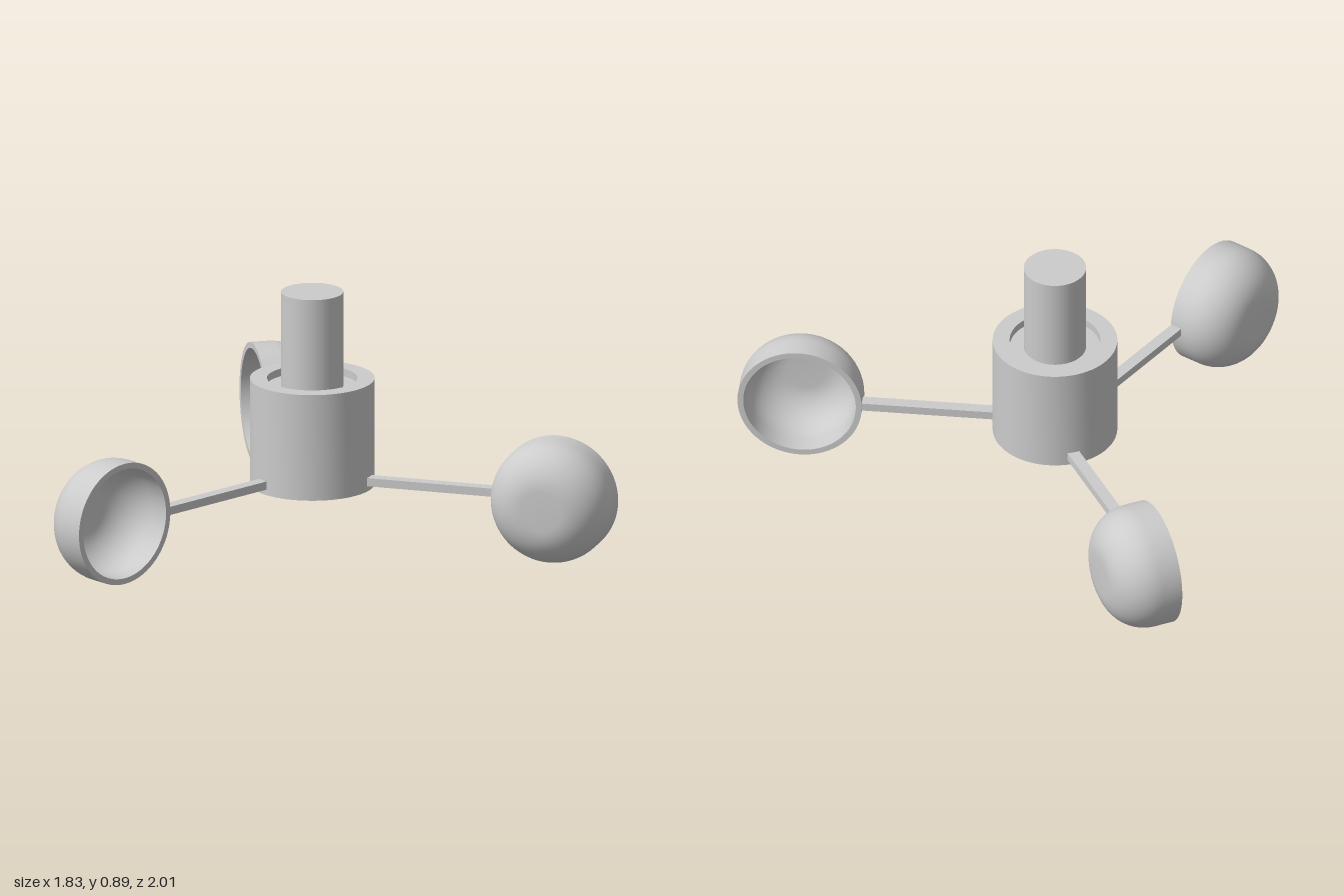
import * as THREE from 'three';
import { toCreasedNormals } from 'three/addons/utils/BufferGeometryUtils.js';

const material = new THREE.MeshStandardMaterial({ color: 0xcccccc });

function addMesh(parent, name, geometry) {
  const mesh = new THREE.Mesh(geometry, material);
  mesh.name = name;
  parent.add(mesh);
  return mesh;
}

// Turned part with crisp edges; the profile runs with its outside on the right
function turned(points, segments = 64) {
  const profile = points.map(([r, y]) => new THREE.Vector2(r, y));
  return toCreasedNormals(new THREE.LatheGeometry(profile, segments), 0.5);
}

// Quarter-round shoulder from a straight wall to a flat end
function shoulder(radius, depth, round, steps = 14) {
  return Array.from({ length: steps + 1 }, (_, i) => {
    const a = (i / steps) * Math.PI / 2;
    return [radius - round + round * Math.cos(a), depth - round + round * Math.sin(a)];
  });
}

// Hollow cup: opening at y = 0, closed end at y = 0.22
function cupGeometry() {
  const inner = shoulder(0.2, 0.2, 0.13).reverse();
  const outer = shoulder(0.221, 0.221, 0.15);
  return turned([[0, 0.2], ...inner, [0.2, 0], [0.221, 0], ...outer, [0, 0.221]]);
}

export function createModel() {
  const model = new THREE.Group();
  model.name = 'windCupRotor';

  const rotor = new THREE.Group();
  rotor.name = 'rotor';
  rotor.position.set(0.217, 0, -0.025);
  model.add(rotor);

  // Hub with a shallow recess on top and a deeper one underneath
  addMesh(rotor, 'hub', turned([
    [0, 0.25], [0.16, 0.25], [0.16, 0.19], [0.22, 0.19],
    [0.22, 0.578], [0.16, 0.578], [0.16, 0.55], [0, 0.55],
  ]));

  // Shaft
  const shaft = addMesh(rotor, 'shaft', new THREE.CylinderGeometry(0.11, 0.11, 0.355, 48));
  shaft.position.y = 0.7175;

  // Bearing ring and its spokes inside the lower recess
  addMesh(rotor, 'bearingRing', turned([
    [0.085, 0.25], [0.085, 0.205], [0.115, 0.205], [0.115, 0.25],
  ], 48));
  for (let i = 0; i < 6; i++) {
    const a = (i / 6) * Math.PI * 2;
    const spoke = addMesh(rotor, 'bearingSpoke', new THREE.BoxGeometry(0.052, 0.04, 0.02));
    spoke.position.set(Math.cos(a) * 0.138, 0.231, -Math.sin(a) * 0.138);
    spoke.rotation.y = a;
  }

  // Three arms, each carrying a cup whose rim plane passes through the axis
  const cupShape = cupGeometry();
  const armShape = new THREE.BoxGeometry(0.495, 0.03, 0.043);
  for (let i = 0; i < 3; i++) {
    const unit = new THREE.Group();
    unit.name = 'armAndCup';
    unit.rotation.y = (i * Math.PI * 2) / 3;
    rotor.add(unit);

    addMesh(unit, 'arm', armShape).position.set(-0.4475, 0.225, -0.0235);

    const cup = addMesh(unit, 'cup', cupShape);
    cup.position.set(-0.907, 0.222, 0);
    cup.rotation.x = -Math.PI / 2;
  }

  return model;
}
